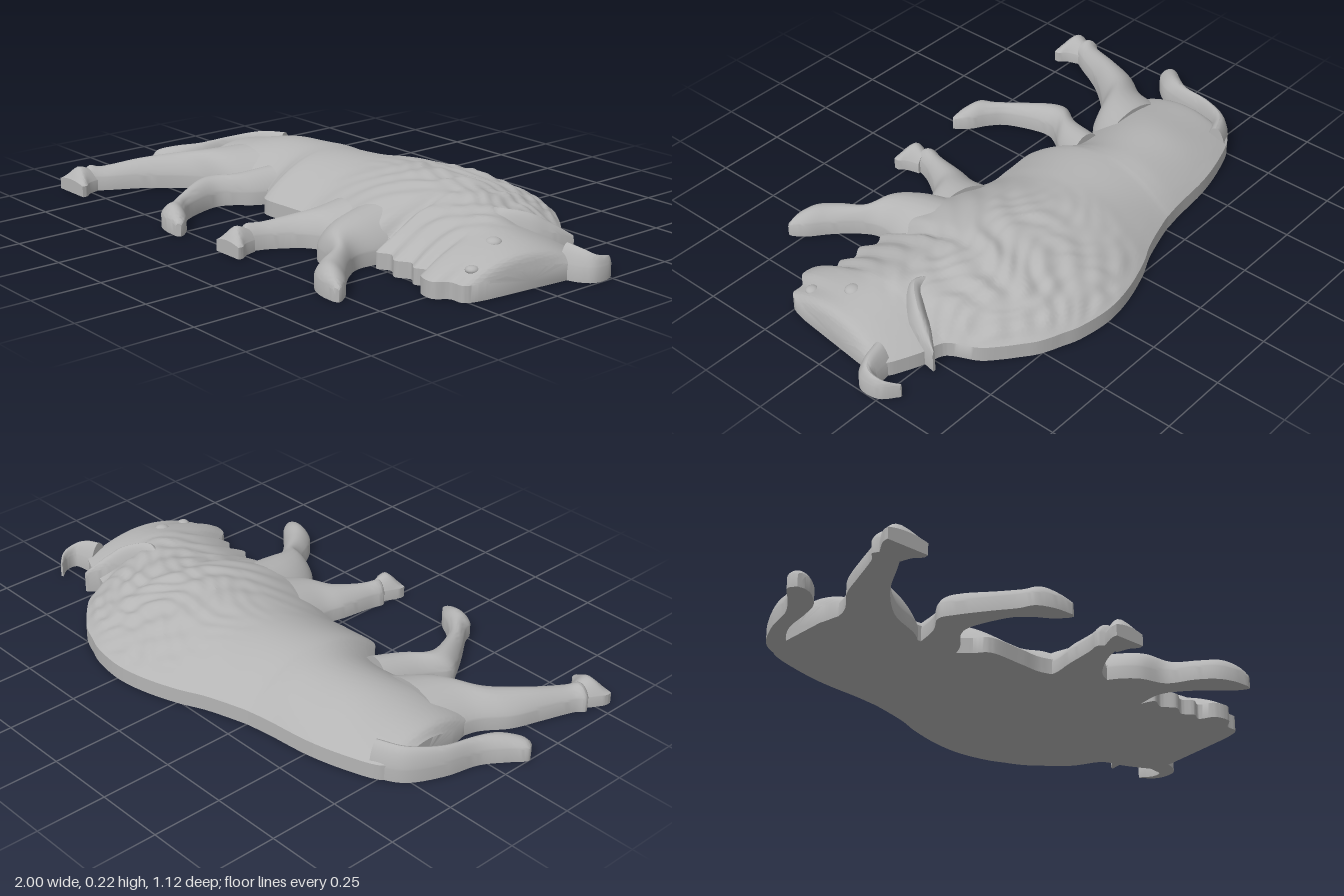
import * as THREE from 'three';
import { toCreasedNormals } from 'three/addons/utils/BufferGeometryUtils.js';

const stone = new THREE.MeshStandardMaterial({ color: 0xb4b4b4 });
stone.name = 'stoneGrey';

const step = (a, b, x) => THREE.MathUtils.smoothstep(x, a, b);

// Flat-backed relief lofted between two edges.
// Each station: [edge A x, z, edge B x, z, crown height].
function relief(name, stations, { wall = 0.045, rows = 40, cols = 14, power = 1, bump = null, smooth = 0.5 } = {}) {
  const curve = (k) => new THREE.CatmullRomCurve3(
    stations.map((s) => new THREE.Vector3(s[k], s[4], s[k + 1])), false, 'catmullrom', smooth);
  const edgeA = curve(0), edgeB = curve(2);
  const ring = cols + 3;
  const pos = [], index = [];
  let turn = 0, last = null;
  for (let i = -1; i <= rows + 1; i++) {
    const t = THREE.MathUtils.clamp(i / rows, 0, 1);
    const a = edgeA.getPoint(t), b = edgeB.getPoint(t);
    const side = Math.min(wall, a.y * 0.8);
    const mid = a.clone().add(b).multiplyScalar(0.5);
    if (last) turn += (mid.z - last.z) * (b.x - a.x) - (mid.x - last.x) * (b.z - a.z);
    last = mid;
    for (let j = 0; j < ring; j++) {
      if (i < 0 || i > rows) { pos.push(mid.x, side / 2, mid.z); continue; } // end caps
      const u = THREE.MathUtils.clamp((j - 1) / cols, 0, 1);
      const v = -Math.cos(u * Math.PI);
      const x = THREE.MathUtils.lerp(a.x, b.x, (v + 1) / 2);
      const z = THREE.MathUtils.lerp(a.z, b.z, (v + 1) / 2);
      const dome = Math.pow(Math.max(0, 1 - v * v), power);
      let y = side + (a.y - side) * dome;
      if (bump) y += bump(x, z) * Math.min(1, dome * 4);
      pos.push(x, j === 0 || j === ring - 1 ? 0 : y, z);
    }
  }
  for (let i = 0; i < rows + 2; i++) {
    for (let j = 0; j < ring; j++) {
      const p = i * ring + j, q = i * ring + (j + 1) % ring;
      const r = p + ring, s = q + ring;
      if (turn > 0) index.push(p, r, q, q, r, s);
      else index.push(p, q, r, q, s, r);
    }
  }
  const geo = new THREE.BufferGeometry();
  geo.setAttribute('position', new THREE.Float32BufferAttribute(pos, 3));
  geo.setIndex(index);
  const mesh = new THREE.Mesh(toCreasedNormals(geo, 0.6), stone);
  mesh.name = name;
  return mesh;
}

// Shaggy shoulder mane, soft hide wrinkles and a raised brow
function hide(x, z) {
  const mane = step(-0.1, 0.25, x) * (1 - step(0.66, 0.76, x));
  const upper = 1 - step(-0.2, 0.05, z);
  const locks = Math.sin(z * 62 + 3 * Math.sin(x * 17)) * Math.sin(x * 31 + 2.5 * Math.sin(z * 23));
  const fringe = Math.sin(x * 52 + z * 30 + 2 * Math.sin(z * 14));
  const wrinkle = Math.sin(x * 20 - z * 9 + 2 * Math.sin(z * 8));
  const brow = 0.012 * Math.exp(-((x - 0.72) ** 2 + (z + 0.02) ** 2) / 0.012);
  return mane * (0.007 * upper * locks + 0.003 * fringe) + 0.002 * wrinkle + brow;
}

export function createModel() {
  const model = new THREE.Group();
  model.name = 'bisonRelief';

  // Body, hump, head and ragged beard
  model.add(relief('bodyAndHead', [
    [-0.79, -0.26, -0.785, -0.02, 0.085],
    [-0.75, -0.315, -0.75, 0.09, 0.118],
    [-0.63, -0.36, -0.63, 0.11, 0.145],
    [-0.50, -0.39, -0.50, 0.09, 0.165],
    [-0.35, -0.405, -0.35, 0.085, 0.175],
    [-0.28, -0.415, -0.28, 0.13, 0.178],
    [-0.23, -0.425, -0.23, 0.175, 0.18],
    [-0.10, -0.465, -0.10, 0.172, 0.185],
    [0, -0.51, 0, 0.172, 0.19],
    [0.13, -0.55, 0.13, 0.23, 0.20],
    [0.25, -0.565, 0.25, 0.29, 0.21],
    [0.37, -0.55, 0.37, 0.28, 0.20],
    [0.44, -0.525, 0.42, 0.20, 0.19],
    [0.48, -0.51, 0.45, 0.255, 0.185],
    [0.52, -0.49, 0.50, 0.235, 0.18],
    [0.56, -0.46, 0.55, 0.265, 0.175],
    [0.61, -0.42, 0.60, 0.24, 0.168],
    [0.66, -0.37, 0.64, 0.265, 0.16],
    [0.70, -0.29, 0.68, 0.25, 0.15],
    [0.73, -0.265, 0.71, 0.30, 0.142],
    [0.79, -0.25, 0.77, 0.31, 0.135],
    [0.85, -0.225, 0.81, 0.27, 0.128],
    [0.89, -0.205, 0.855, 0.265, 0.118],
    [0.91, -0.185, 0.875, 0.235, 0.10],
    [0.922, -0.15, 0.887, 0.18, 0.065],
  ], { wall: 0.055, rows: 200, cols: 90, bump: hide }));

  // Legs
  const limb = { wall: 0.045, power: 0.8 };
  model.add(relief('nearHindLeg', [
    [-0.76, -0.02, -0.40, 0.0, 0.145],
    [-0.78, 0.10, -0.50, 0.11, 0.135],
    [-0.845, 0.20, -0.64, 0.18, 0.115],
    [-0.88, 0.30, -0.755, 0.30, 0.10],
    [-0.92, 0.42, -0.83, 0.43, 0.08],
    [-0.945, 0.455, -0.855, 0.475, 0.085],
    [-0.92, 0.49, -0.855, 0.495, 0.07],
  ], limb));
  model.add(relief('farHindLeg', [
    [-0.45, 0.03, -0.30, 0.05, 0.12],
    [-0.48, 0.17, -0.34, 0.14, 0.105],
    [-0.525, 0.25, -0.39, 0.20, 0.10],
    [-0.50, 0.31, -0.41, 0.27, 0.095],
    [-0.44, 0.40, -0.365, 0.40, 0.08],
    [-0.385, 0.475, -0.315, 0.455, 0.08],
    [-0.36, 0.525, -0.26, 0.49, 0.085],
    [-0.30, 0.55, -0.225, 0.525, 0.065],
    [-0.23, 0.555, -0.215, 0.545, 0.045],
  ], limb));
  model.add(relief('farFrontLeg', [
    [0.02, 0.10, 0.30, 0.18, 0.14],
    [0.03, 0.20, 0.24, 0.25, 0.12],
    [0.015, 0.28, 0.15, 0.30, 0.10],
    [0.0, 0.39, 0.085, 0.39, 0.085],
    [-0.012, 0.44, 0.06, 0.455, 0.085],
    [0.01, 0.465, 0.06, 0.475, 0.07],
  ], limb));
  model.add(relief('nearFrontLeg', [
    [0.15, 0.13, 0.44, 0.10, 0.155],
    [0.20, 0.27, 0.43, 0.20, 0.14],
    [0.27, 0.35, 0.42, 0.30, 0.12],
    [0.37, 0.385, 0.455, 0.37, 0.095],
    [0.42, 0.47, 0.52, 0.44, 0.09],
    [0.47, 0.525, 0.58, 0.49, 0.09],
    [0.53, 0.55, 0.61, 0.53, 0.07],
    [0.595, 0.555, 0.615, 0.547, 0.045],
  ], limb));

  // Splayed hooves on the two straight legs
  for (const [name, x, z, w] of [['hindHoof', -0.89, 0.465, 0.075], ['frontHoof', 0.04, 0.45, 0.06]]) {
    model.add(relief(name, [
      [x - w * 0.5, z, x + w * 0.5, z, 0.07],
      [x - w * 0.85, z + 0.045, x + w * 0.7, z + 0.045, 0.09],
      [x - w, z + 0.07, x + w, z + 0.07, 0.075],
      [x - w, z + 0.09, x + w, z + 0.09, 0.05],
    ], { wall: 0.04, rows: 10 }));
  }

  // Tail with a tufted end
  model.add(relief('tail', [
    [-0.72, -0.325, -0.70, -0.25, 0.12],
    [-0.82, -0.265, -0.775, -0.215, 0.115],
    [-0.88, -0.15, -0.835, -0.12, 0.10],
    [-0.91, -0.03, -0.855, -0.005, 0.09],
    [-0.96, 0.05, -0.875, 0.07, 0.085],
    [-1.0, 0.105, -0.925, 0.125, 0.07],
    [-0.985, 0.137, -0.96, 0.14, 0.05],
  ], limb));

  // Horns
  model.add(relief('nearHorn', [
    [0.585, -0.08, 0.62, -0.13, 0.17],
    [0.67, -0.06, 0.65, -0.14, 0.18],
    [0.745, -0.14, 0.695, -0.19, 0.165],
    [0.775, -0.22, 0.735, -0.24, 0.125],
    [0.79, -0.295, 0.78, -0.295, 0.08],
  ], { wall: 0.1, rows: 24 }));
  model.add(relief('farHorn', [
    [0.88, -0.20, 0.89, -0.12, 0.11],
    [0.93, -0.205, 0.955, -0.14, 0.10],
    [0.96, -0.215, 0.995, -0.18, 0.085],
    [0.96, -0.255, 0.99, -0.25, 0.07],
    [0.93, -0.295, 0.938, -0.298, 0.05],
  ], { wall: 0.045, rows: 24 }));

  // Eye and nostril bumps
  for (const [name, x, y, z, r] of [['eye', 0.78, 0.13, 0.06, 0.028], ['nostril', 0.83, 0.085, 0.2, 0.022]]) {
    const bump = new THREE.Mesh(new THREE.SphereGeometry(r, 16, 10), stone);
    bump.name = name;
    bump.scale.y = 0.6;
    bump.position.set(x, y, z);
    model.add(bump);
  }
  return model;
}
